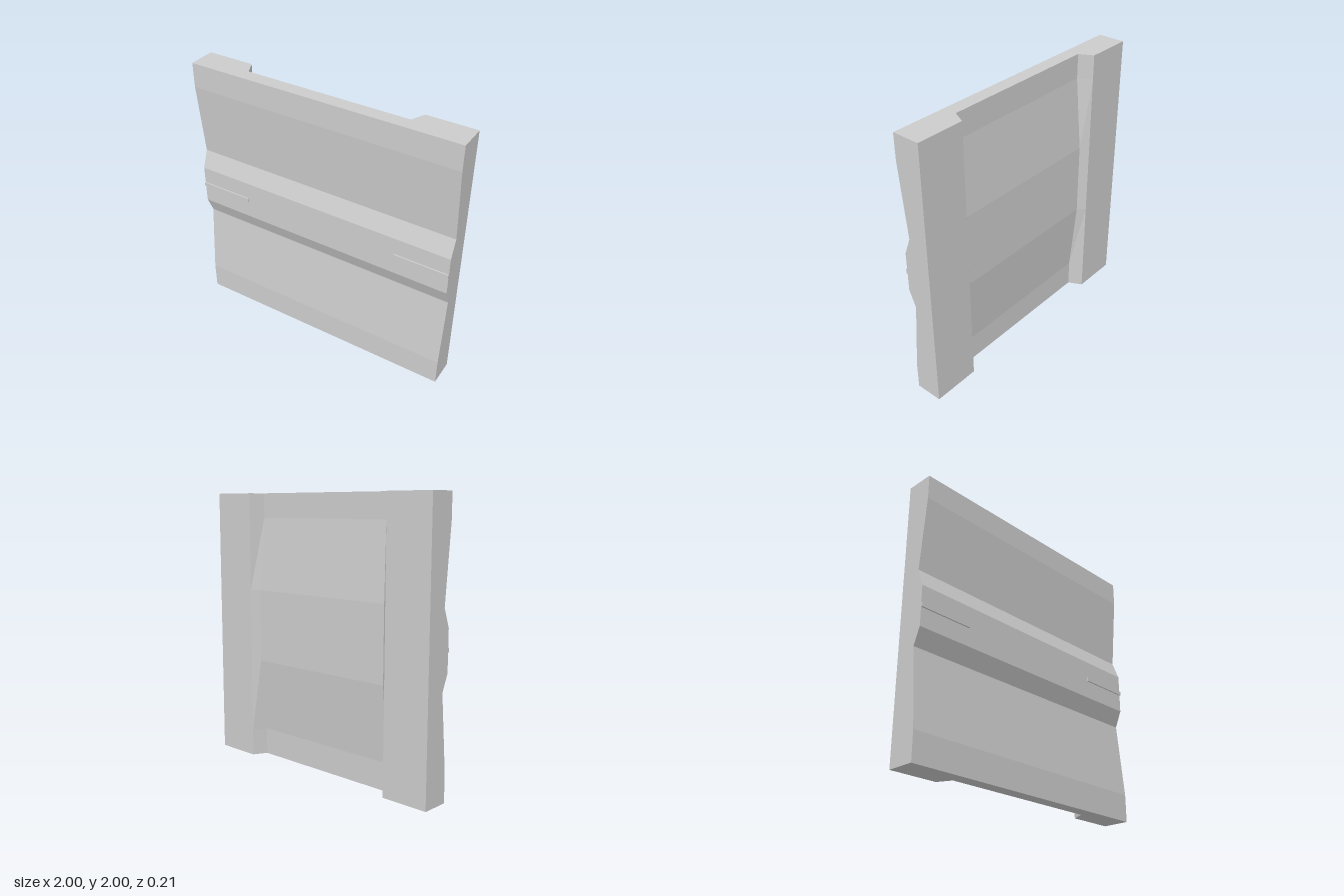
import * as THREE from 'three';

const BACK = -0.105;

// Height, front z and recess z of each level of the panel
const LEVELS = [
  [0, 0.095, -0.005],
  [0.2, 0.095, -0.005],
  [0.745, 0.045, -0.055],
  [0.865, 0.095, -0.055],
  [1.155, 0.095, -0.055],
  [1.285, 0.045, -0.055],
  [1.82, 0.095, -0.005],
  [2, 0.095, -0.005],
];

// Horizontal outline of the panel, seen from above, counter-clockwise
const section = ([y, front, recess]) => [
  [-1, front], [1, front], [1, BACK], [0.65, BACK],
  [0.6, recess], [-0.6, recess], [-0.65, BACK], [-1, BACK],
].map(([x, z]) => new THREE.Vector3(x, y, z));

function panelGeometry() {
  const rings = LEVELS.map(section);
  const points = [];
  const n = rings[0].length;

  // Walls between neighbouring levels
  for (let r = 0; r < rings.length - 1; r++) {
    for (let i = 0; i < n; i++) {
      const j = (i + 1) % n;
      const a = rings[r][i], b = rings[r][j];
      const c = rings[r + 1][j], d = rings[r + 1][i];
      points.push(a, b, c, a, c, d);
    }
  }

  // Bottom and top caps
  const bottom = rings[0], top = rings[rings.length - 1];
  const outline = top.map((p) => new THREE.Vector2(p.x, -p.z));
  for (const [a, b, c] of THREE.ShapeUtils.triangulateShape(outline, [])) {
    points.push(top[a], top[b], top[c], bottom[a], bottom[c], bottom[b]);
  }

  const geometry = new THREE.BufferGeometry().setFromPoints(points);
  geometry.computeVertexNormals();
  return geometry;
}

export function createModel() {
  const model = new THREE.Group();
  model.name = 'wallPanel';
  const material = new THREE.MeshStandardMaterial({ color: 0xcccccc, flatShading: true });

  // Grooved panel with a recessed back between two thick side posts
  const panel = new THREE.Mesh(panelGeometry(), material);
  panel.name = 'panel';
  model.add(panel);

  // Thin raised strips at both ends of the middle band
  for (const side of [-1, 1]) {
    const strip = new THREE.Mesh(new THREE.BoxGeometry(0.4, 0.03, 0.02), material);
    strip.name = side > 0 ? 'leftStrip' : 'rightStrip';
    strip.position.set(side * 0.8, 1.013, 0.095);
    model.add(strip);
  }
  return model;
}
